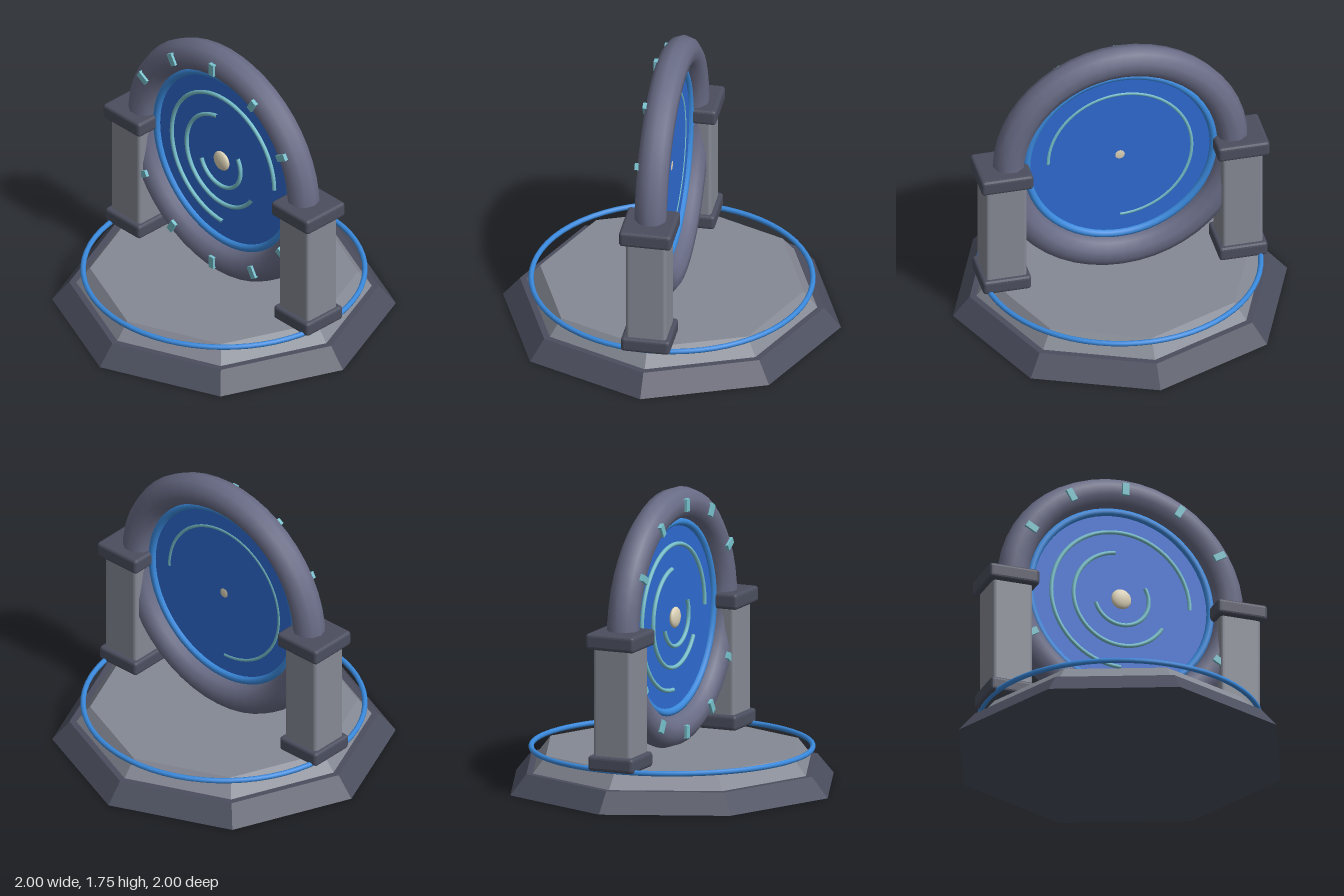
import * as THREE from 'three';
import { RoundedBoxGeometry } from 'three/addons/geometries/RoundedBoxGeometry.js';

const mat = (name, color, extra = {}) => {
  const m = new THREE.MeshStandardMaterial({ color, ...extra });
  m.name = name;
  return m;
};

export function createModel() {
  const stone = mat('stone', 0x858994, { flatShading: true });
  const darkStone = mat('darkStone', 0x4b4e5e, { flatShading: true });
  const archStone = mat('archStone', 0x696c86);
  const blue = mat('blueTrim', 0x3a8ade);
  const portal = mat('portalBlue', 0x2e6ad0, { side: THREE.DoubleSide });
  const teal = mat('tealGlow', 0x76c0cc);
  const cream = mat('cream', 0xddd3b8);

  const model = new THREE.Group();
  const add = (parent, name, geometry, material, x = 0, y = 0, z = 0) => {
    const mesh = new THREE.Mesh(geometry, material);
    mesh.name = name;
    mesh.position.set(x, y, z);
    parent.add(mesh);
    return mesh;
  };

  // Octagonal stepped base
  add(model, 'lowerStep', new THREE.CylinderGeometry(0.9, 1, 0.12, 8), darkStone, 0, 0.06);
  add(model, 'upperStep', new THREE.CylinderGeometry(0.78, 0.86, 0.1, 8), stone, 0, 0.17);
  add(model, 'floorRing', new THREE.TorusGeometry(0.82, 0.016, 8, 64), blue, 0, 0.225)
    .rotation.x = Math.PI / 2;

  // Pillars with foot and cap blocks
  for (const [side, s] of [['left', 1], ['right', -1]]) {
    const pillar = new THREE.Group();
    pillar.name = side + 'Pillar';
    pillar.position.x = s * 0.707;
    model.add(pillar);
    add(pillar, 'foot', new RoundedBoxGeometry(0.29, 0.09, 0.29, 2, 0.02), darkStone, 0, 0.265);
    add(pillar, 'shaft', new RoundedBoxGeometry(0.245, 0.74, 0.24, 2, 0.02), stone, 0, 0.62);
    add(pillar, 'cap', new RoundedBoxGeometry(0.31, 0.095, 0.31, 2, 0.02), darkStone, 0, 0.987);
  }

  // Upright gate, built around its own centre
  const gate = new THREE.Group();
  gate.name = 'gate';
  gate.position.y = 0.99;
  model.add(gate);
  add(gate, 'arch', new THREE.TorusGeometry(0.67, 0.095, 10, 48), archStone);
  add(gate, 'innerRim', new THREE.TorusGeometry(0.56, 0.024, 8, 64), blue);
  add(gate, 'portalDisc', new THREE.CircleGeometry(0.555, 64), portal);

  // Swirl arcs: radius, start angle, sweep, forward offset
  const arcs = [
    [0.43, 0, 4.71, 0.008],
    [0.295, 1.7, 4.05, 0.018],
    [0.168, 3.43, 3.39, 0.028],
  ];
  for (const [r, start, sweep, z] of arcs) {
    add(gate, 'swirlArc', new THREE.TorusGeometry(r, 0.0125, 8, 48, sweep), teal, 0, 0, z)
      .rotation.z = start;
  }
  add(gate, 'core', new THREE.SphereGeometry(0.062, 20, 14), cream, 0, 0, 0.02)
    .scale.z = 0.37;

  // Twelve markers on the front of the arch
  for (let i = 0; i < 12; i++) {
    const a = (i * Math.PI) / 6;
    add(gate, 'marker', new THREE.BoxGeometry(0.075, 0.04, 0.024), teal,
      0.672 * Math.cos(a), 0.672 * Math.sin(a), 0.094).rotation.z = a;
  }
  return model;
}
